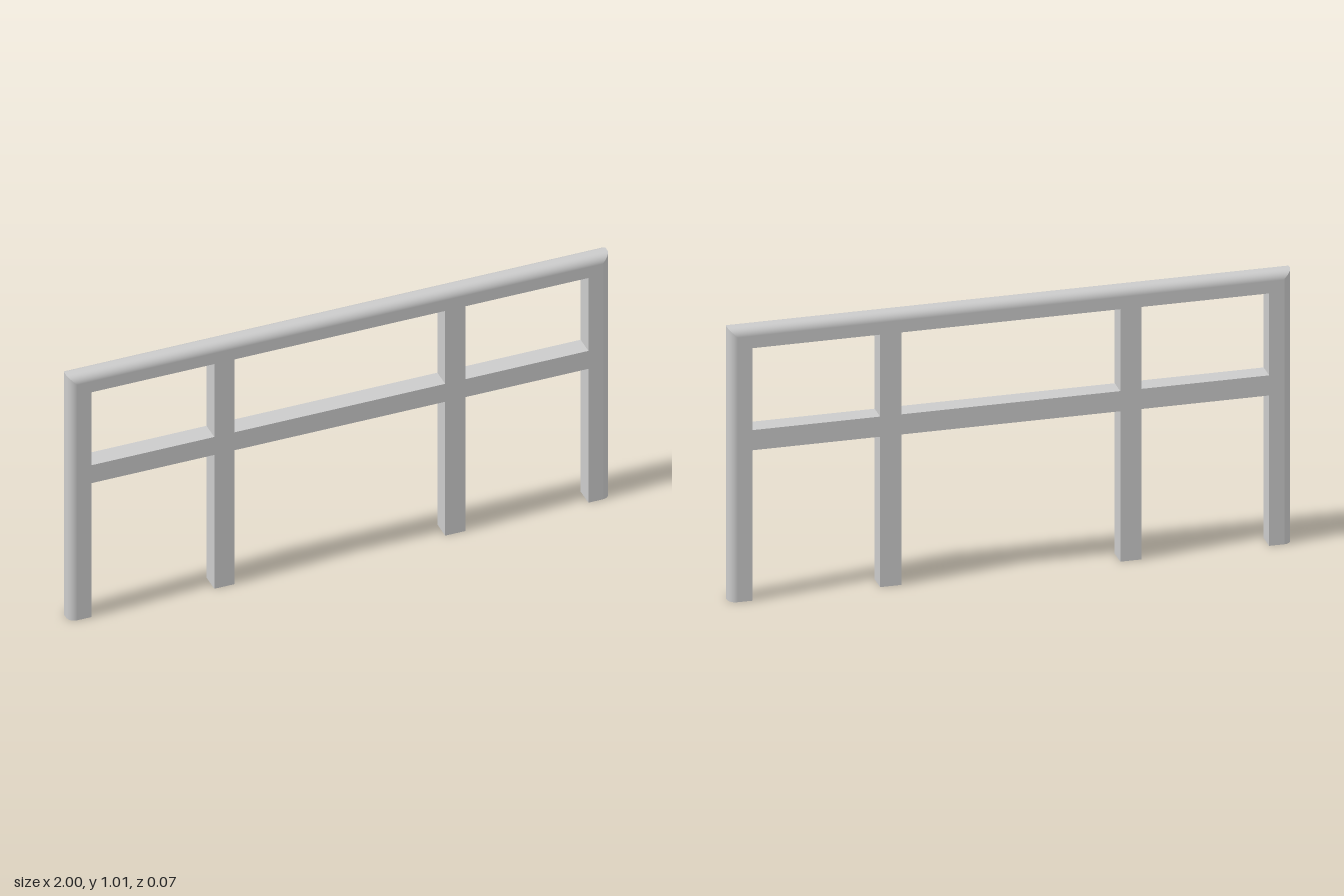
import * as THREE from 'three';

const H = 1.015, D = 0.036, R = 0.03;        // height, half depth, edge radius
const RAIL = { low: 0.56, high: 0.635, top: 0.94 };
// Openings between the posts, as [left, right]
const BAYS = [[-0.918, -0.464], [-0.389, 0.389], [0.464, 0.918]];

const material = new THREE.MeshStandardMaterial({ color: 0xcccccc, side: THREE.DoubleSide });

function add(group, name, geometry) {
  const mesh = new THREE.Mesh(geometry, material);
  mesh.name = name;
  group.add(mesh);
  return mesh;
}

// Flat-shaded strip of wall along a path, running through the depth
function wall(path) {
  const pos = [], index = [];
  path.forEach(([x, y], i) => {
    pos.push(x, y, D, x, y, -D);
    const a = i * 2;
    if (i < path.length - 1) index.push(a, a + 2, a + 1, a + 2, a + 3, a + 1);
  });
  const g = new THREE.BufferGeometry();
  g.setAttribute('position', new THREE.Float32BufferAttribute(pos, 3));
  g.setIndex(index);
  const flat = g.toNonIndexed();
  flat.computeVertexNormals();
  return flat;
}

// Face outline with legs, set in by the edge radius, with the upper windows cut out
function faceGeometry() {
  const pts = [[-1 + R, 0]];
  for (const [l, r] of BAYS) pts.push([l, 0], [l, RAIL.low], [r, RAIL.low], [r, 0]);
  pts.push([1 - R, 0], [1 - R, H - R], [-1 + R, H - R]);
  const toV = ([x, y]) => new THREE.Vector2(x, y);
  const shape = new THREE.Shape(pts.map(toV));
  for (const [l, r] of BAYS) {
    shape.holes.push(new THREE.Path(
      [[l, RAIL.high], [l, RAIL.top], [r, RAIL.top], [r, RAIL.high]].map(toV)));
  }
  return new THREE.ShapeGeometry(shape);
}

// Rounded outer edge along one side of the frame, mitred at the upper corners
function rimGeometry(side) {
  const outward = [[-1, 0], [0, 1], [1, 0]][side];
  const steps = 8, profile = [];
  for (let half = 0; half < 2; half++) {
    for (let i = 0; i <= steps; i++) {
      const t = (half + i / steps) * Math.PI / 2;
      const out = Math.sin(t), nz = Math.cos(t);
      profile.push({ inset: R * (1 - out), z: (half ? -1 : 1) * (D - R) + R * nz, out, nz });
    }
  }
  const pos = [], nor = [], index = [];
  profile.forEach(({ inset: d, z, out, nz }, i) => {
    const path = [[-1 + d, 0], [-1 + d, H - d], [1 - d, H - d], [1 - d, 0]];
    for (const [x, y] of [path[side], path[side + 1]]) {
      pos.push(x, y, z);
      nor.push(outward[0] * out, outward[1] * out, nz);
    }
    const a = i * 2;
    if (i < profile.length - 1) index.push(a, a + 1, a + 2, a + 1, a + 3, a + 2);
  });
  const g = new THREE.BufferGeometry();
  g.setAttribute('position', new THREE.Float32BufferAttribute(pos, 3));
  g.setAttribute('normal', new THREE.Float32BufferAttribute(nor, 3));
  g.setIndex(index);
  return g;
}

export function createModel() {
  const group = new THREE.Group();
  group.name = 'railing';

  // Front and back faces of posts and rails
  add(group, 'frontFace', faceGeometry()).position.z = D;
  const back = add(group, 'backFace', faceGeometry());
  back.rotation.y = Math.PI;
  back.position.z = -D;

  // Rounded outer edges
  ['rightPostEdge', 'handrailEdge', 'leftPostEdge'].forEach(
    (name, i) => add(group, name, rimGeometry(i)));

  // Inner walls of the windows and of the open bays below; the post feet stay open
  BAYS.forEach(([l, r], i) => {
    add(group, `windowWalls${i + 1}`, wall([[l, RAIL.high], [r, RAIL.high],
      [r, RAIL.top], [l, RAIL.top], [l, RAIL.high]]));
    add(group, `legWalls${i + 1}`, wall([[r, 0], [r, RAIL.low], [l, RAIL.low], [l, 0]]));
  });

  return group;
}
